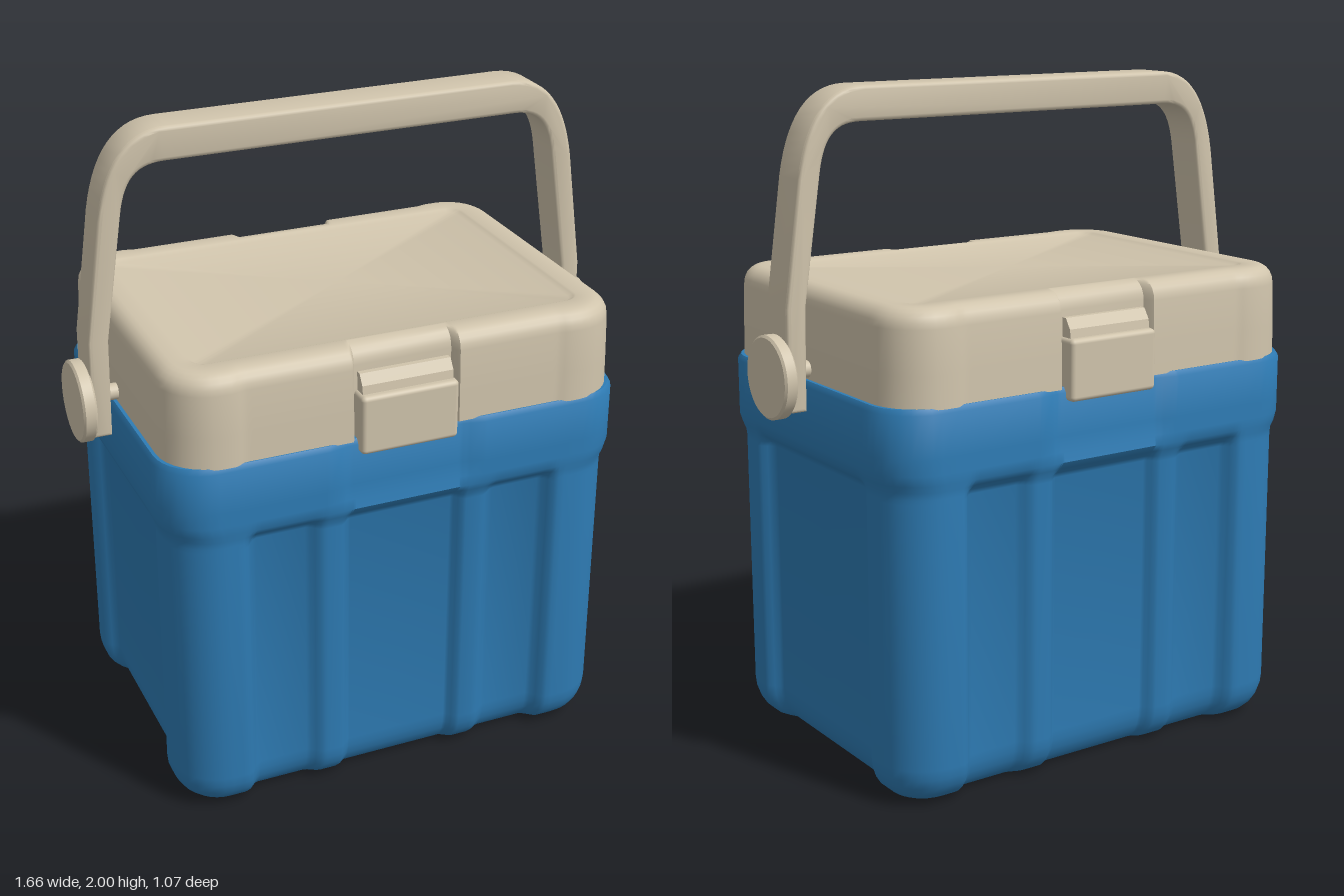
import * as THREE from 'three';
import { toCreasedNormals } from 'three/addons/utils/BufferGeometryUtils.js';
import { RoundedBoxGeometry } from 'three/addons/geometries/RoundedBoxGeometry.js';

const shellBlue = new THREE.MeshStandardMaterial({ color: 0x2e7cb5 });
shellBlue.name = 'shellBlue';
const trimBeige = new THREE.MeshStandardMaterial({ color: 0xd0c4ac });
trimBeige.name = 'trimBeige';

// Blend from 0 to 1 between a and b
const step = (a, b, v) => THREE.MathUtils.smoothstep(v, a, b);

// Recess depth across a wall: u is the distance along it, long marks front and back
const wallDepth = (u, long) => {
  const a = Math.abs(u);
  if (!long) return 0.04 * (1 - step(0.28, 0.33, a));
  return 0.045 * (1 - step(0.45, 0.5, a)) - 0.03 * step(0.16, 0.2, a) * (1 - step(0.25, 0.3, a));
};
const collarDepth = (u, long) => (long ? 0.015 * (1 - step(0.17, 0.24, Math.abs(u))) : 0);
const lidDepth = (u, long) => {
  const a = Math.abs(u);
  return long ? 0.008 * (1 - step(0.48, 0.52, a)) + 0.03 * (1 - step(0.15, 0.165, a)) : 0;
};

const mirrored = (list) => [...list.map((v) => -v), 0, ...list.slice().reverse()];
const longStops = mirrored([0.52, 0.5, 0.4875, 0.475, 0.4625, 0.45, 0.3, 0.2875, 0.275, 0.2625, 0.25,
  0.24, 0.2, 0.19, 0.18, 0.17, 0.165, 0.16, 0.15]);
const shortStops = mirrored([0.345, 0.33, 0.3175, 0.305, 0.2925, 0.28]);

// Rounded rectangle with recessed walls at height y
function ring({ y, hx, hz, inset = 0, amount = 1, depth, scale = 1 }) {
  const r = Math.max(0.03, 0.15 - inset);
  const points = [];
  for (let k = 0; k < 4; k++) {
    const long = k % 2 === 0;
    const reach = (long ? hx : hz) - inset - r;
    const out = (long ? hz : hx) - inset;
    const c = Math.round(Math.cos(k * Math.PI / 2)), s = Math.round(Math.sin(k * Math.PI / 2));
    const add = (u, n) => points.push(
      new THREE.Vector3((u * c + n * s) * scale, y, (n * c - u * s) * scale));
    for (const u of long ? longStops : shortStops) add(u, out - amount * depth(u, long));
    for (let i = 0; i <= 8; i++) {
      const t = (i / 8) * Math.PI / 2;
      add(reach + r * Math.sin(t), out - r + r * Math.cos(t));
    }
  }
  return points;
}

// Skin between successive rings
function loft(specs) {
  const rings = specs.map(ring), n = rings[0].length;
  const pos = [], index = [];
  rings.forEach((points) => points.forEach((p) => pos.push(p.x, p.y, p.z)));
  for (let j = 0; j < rings.length - 1; j++) {
    for (let i = 0; i < n; i++) {
      const a = j * n + i, b = j * n + (i + 1) % n;
      index.push(a, b, b + n, a, b + n, a + n);
    }
  }
  const g = new THREE.BufferGeometry();
  g.setAttribute('position', new THREE.Float32BufferAttribute(pos, 3));
  g.setIndex(index);
  return toCreasedNormals(g, 0.75);
}

function bodyGeometry() {
  const wall = { hx: 0.7, hz: 0.515, depth: wallDepth };
  const collar = { hx: 0.72, hz: 0.52, depth: collarDepth };
  const specs = [{ ...wall, y: 0, inset: 0.1, amount: 0.4, scale: 0.001 }];
  // Rounded feet
  for (let i = 0; i <= 6; i++) {
    const t = (i / 6) * Math.PI / 2;
    specs.push({ ...wall, y: 0.12 * (1 - Math.cos(t)), inset: 0.1 * (1 - Math.sin(t)),
      amount: 0.4 + 0.6 * Math.sin(t) });
  }
  // Walls rising into the overhanging collar
  specs.push({ ...wall, y: 0.9 }, { ...wall, y: 0.915, amount: 0.85 },
    { ...wall, y: 0.935, hx: 0.703, amount: 0.25 }, { ...collar, y: 0.955, hx: 0.71, amount: 0.2 },
    { ...collar, y: 0.985, amount: 0.6 }, { ...collar, y: 1.03 }, { ...collar, y: 1.155 },
    { ...collar, y: 1.17, inset: 0.01 }, { ...collar, y: 1.17, scale: 0.001 });
  return loft(specs);
}

function lidGeometry() {
  const lid = { hx: 0.7, hz: 0.515, depth: lidDepth };
  const specs = [{ ...lid, y: 1.165 }, { ...lid, y: 1.26, inset: 0.002 }];
  // Rounded upper edge
  for (let i = 0; i <= 5; i++) {
    const t = (i / 5) * Math.PI / 2;
    specs.push({ ...lid, y: 1.385 + 0.055 * Math.sin(t), inset: 0.006 + 0.05 * (1 - Math.cos(t)) });
  }
  // Shallow sunken top panel
  specs.push({ ...lid, y: 1.44, inset: 0.1, amount: 0 }, { ...lid, y: 1.437, inset: 0.107, amount: 0 },
    { ...lid, y: 1.43, inset: 0.12, amount: 0 }, { ...lid, y: 1.43, inset: 0.12, amount: 0, scale: 0.001 });
  return loft(specs);
}

function handleGeometry() {
  const s = new THREE.Shape();
  s.moveTo(0.735, 1.09);
  s.lineTo(0.795, 1.09);
  s.lineTo(0.792, 1.39);
  s.lineTo(0.742, 1.75);
  s.bezierCurveTo(0.715, 1.91, 0.65, 2, 0.53, 2);
  s.lineTo(-0.53, 2);
  s.bezierCurveTo(-0.65, 2, -0.715, 1.91, -0.742, 1.75);
  s.lineTo(-0.792, 1.39);
  s.lineTo(-0.795, 1.09);
  s.lineTo(-0.735, 1.09);
  s.lineTo(-0.73, 1.39);
  s.lineTo(-0.675, 1.76);
  s.bezierCurveTo(-0.66, 1.86, -0.625, 1.9, -0.54, 1.9);
  s.lineTo(0.54, 1.9);
  s.bezierCurveTo(0.625, 1.9, 0.66, 1.86, 0.675, 1.76);
  s.lineTo(0.73, 1.39);
  s.closePath();
  const g = new THREE.ExtrudeGeometry(s, { depth: 0.106, curveSegments: 14, bevelEnabled: true,
    bevelThickness: 0.012, bevelSize: 0.012, bevelOffset: -0.012, bevelSegments: 3 });
  return toCreasedNormals(g.translate(0, 0, -0.053), 0.6);
}

// Sloped hinge block above each latch, drawn as a (z, y) section
function hingeGeometry() {
  const s = new THREE.Shape([[0.45, 1.29], [0.515, 1.29], [0.508, 1.335], [0.488, 1.365], [0.45, 1.365]]
    .map(([z, y]) => new THREE.Vector2(-z, y)));
  return new THREE.ExtrudeGeometry(s, { depth: 0.28, bevelEnabled: false })
    .translate(0, 0, -0.14).rotateY(Math.PI / 2);
}

export function createModel() {
  const model = new THREE.Group();
  model.name = 'coolBox';
  const add = (name, geometry, material, parent = model) => {
    const m = new THREE.Mesh(geometry, material);
    m.name = name;
    parent.add(m);
    return m;
  };
  add('body', bodyGeometry(), shellBlue);
  add('lid', lidGeometry(), trimBeige);
  add('handle', handleGeometry(), trimBeige);

  // Latches on front and back
  for (const [name, turn] of [['frontLatch', 0], ['backLatch', Math.PI]]) {
    const latch = new THREE.Group();
    latch.name = name;
    latch.rotation.y = turn;
    add('latchPlate', new RoundedBoxGeometry(0.3, 0.18, 0.075, 3, 0.014), trimBeige, latch)
      .position.set(0, 1.22, 0.497);
    add('latchHinge', hingeGeometry(), trimBeige, latch);
    model.add(latch);
  }

  // Pivot discs and pins on both sides
  const disc = toCreasedNormals(new THREE.LatheGeometry([[0, 0], [0.115, 0], [0.122, 0.006], [0.122, 0.036],
    [0.115, 0.042], [0, 0.042]].map(([x, y]) => new THREE.Vector2(x, y)), 48), 0.5);
  for (const [side, sign] of [['left', 1], ['right', -1]]) {
    const d = add(side + 'PivotDisc', disc, trimBeige);
    d.rotation.z = -sign * Math.PI / 2;
    d.position.set(sign * 0.79, 1.19, 0);
    const pin = add(side + 'PivotPin', new THREE.CylinderGeometry(0.025, 0.025, 0.1, 20), trimBeige);
    pin.rotation.z = Math.PI / 2;
    pin.position.set(sign * 0.71, 1.2, 0);
  }
  return model;
}
